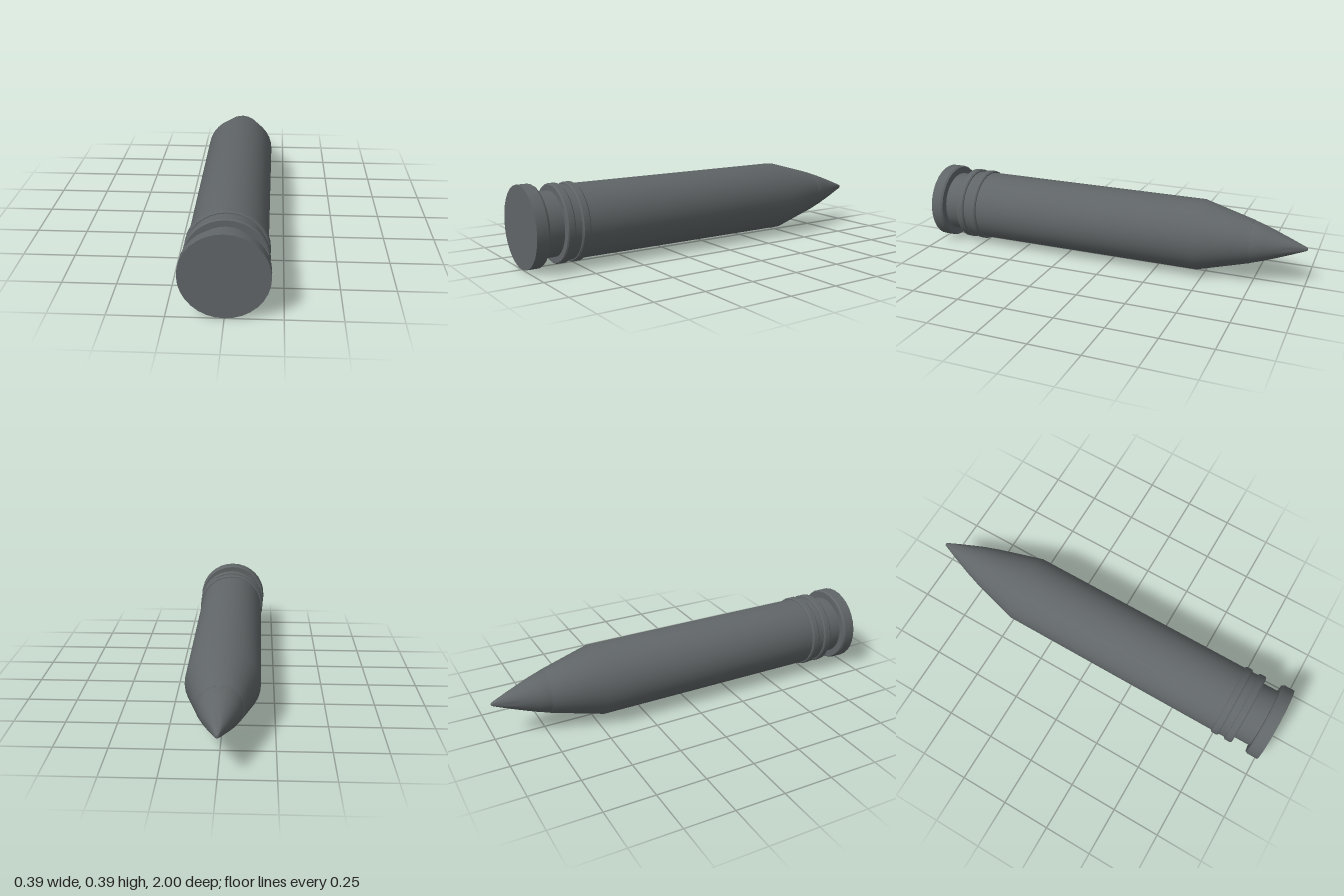
import * as THREE from 'three';
import { toCreasedNormals } from 'three/addons/utils/BufferGeometryUtils.js';

const SIDES = 32;
const AXIS_HEIGHT = 0.198;

export function createModel() {
  const group = new THREE.Group();
  group.name = 'cartridge';

  const darkSteel = new THREE.MeshStandardMaterial({ color: 0x606567 });
  darkSteel.name = 'darkSteel';

  // Turns a profile of [radius, z] points, base to tip, around the long axis
  function turned(name, profile, crease) {
    const points = profile.map(([r, z]) => new THREE.Vector2(r, -z));
    const lathe = new THREE.LatheGeometry(points, SIDES).rotateX(-Math.PI / 2);
    const mesh = new THREE.Mesh(toCreasedNormals(lathe, crease), darkSteel);
    mesh.name = name;
    mesh.position.y = AXIS_HEIGHT;
    group.add(mesh);
  }

  // Base rim with a small bevel, and the narrow extractor groove
  turned('rim', [[0, 1], [0.196, 1], [0.196, 0.945], [0.19, 0.935], [0.155, 0.935]], 0.4);
  turned('extractorGroove', [[0.155, 0.935], [0.155, 0.85]], 0.4);

  // Two raised bands around the back of the case
  for (const [name, back] of [['rearBand', 0.85], ['frontBand', 0.775]]) {
    turned(name, [
      [0.15, back], [0.184, back], [0.189, back - 0.006],
      [0.189, back - 0.035], [0.184, back - 0.041], [0.17, back - 0.041],
    ], 0.4);
  }

  // Straight case body running into the tapered shoulder
  turned('caseBody', [[0.15, 0.845], [0.179, 0.845], [0.179, -0.47], [0.108, -0.73], [0.1, -0.73]], 0.4);

  // Pointed projectile with a gently curved nose
  turned('projectile', [
    [0.107, -0.725], [0.107, -0.73], [0.088, -0.79], [0.066, -0.85],
    [0.041, -0.915], [0.013, -0.985], [0.007, -0.997], [0, -1],
  ], 0.6);

  return group;
}
